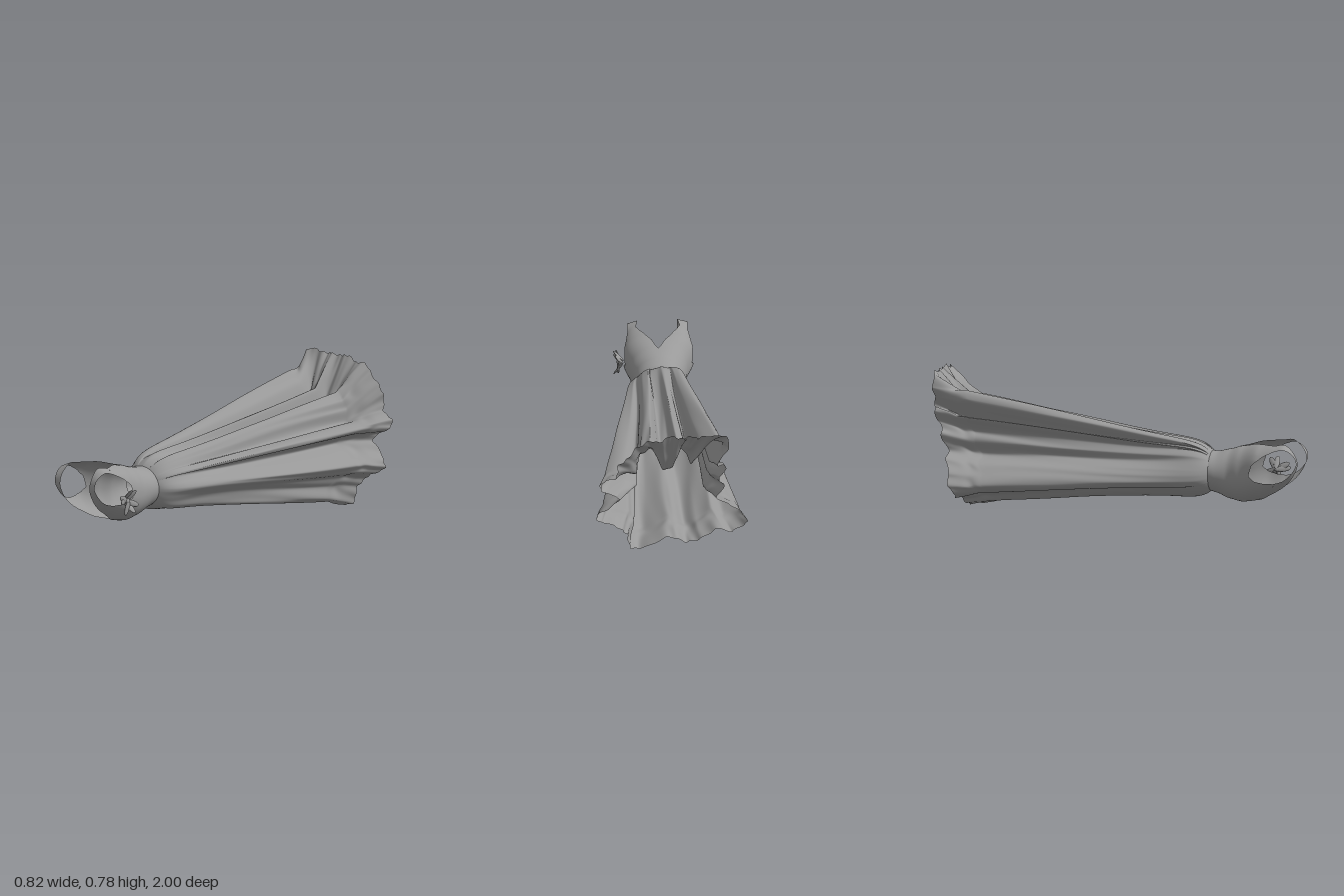
import * as THREE from 'three';

const CX = -0.05, CY = 0.265;      // waist centre
const WAIST_RX = 0.13, WAIST_RY = 0.108;
const material = new THREE.MeshStandardMaterial({ color: 0x999999, side: THREE.DoubleSide });

// Smooth surface through rows of points; closed rows wrap around.
function loft(name, rows, closed) {
  const n = rows[0].length, pos = [], index = [];
  rows.forEach(r => r.forEach(p => pos.push(p[0], p[1], p[2])));
  for (let j = 0; j < rows.length - 1; j++) {
    for (let i = 0; i < (closed ? n : n - 1); i++) {
      const k = (i + 1) % n, a = j * n + i, b = j * n + k, c = a + n, d = b + n;
      index.push(a, c, b, b, c, d);
    }
  }
  const g = new THREE.BufferGeometry();
  g.setAttribute('position', new THREE.Float32BufferAttribute(pos, 3));
  g.setIndex(index);
  g.computeVertexNormals();
  const m = new THREE.Mesh(g, material);
  m.name = name;
  return m;
}

// Closed outline through [x, y] points, counter-clockwise.
const outline = pts => new THREE.CatmullRomCurve3(
  pts.map(p => new THREE.Vector3(p[0], p[1], 0)), true, 'catmullrom', 0.4);

// Smooth lookup in a table of [key, v1, v2, ...].
function lookup(table, key) {
  let i = 0;
  while (i < table.length - 2 && key > table[i + 1][0]) i++;
  const a = table[i], b = table[i + 1];
  const t = THREE.MathUtils.clamp((key - a[0]) / (b[0] - a[0]), 0, 1);
  const s = 0.5 * t + 0.5 * t * t * (3 - 2 * t);
  return a.slice(1).map((v, k) => v + (b[k + 1] - v) * s);
}

// Fold outlines: where the ruffle starts, and at the hem (matching points)
const FOLDS = [
  [0.35, 0.465], [0.26, 0.48], [0.19, 0.46], [0.18, 0.53], [0.16, 0.58], [0.11, 0.615], [0.07, 0.55], [0.04, 0.48],
  [-0.01, 0.50], [-0.04, 0.61], [-0.08, 0.59], [-0.11, 0.51], [-0.16, 0.63], [-0.24, 0.685], [-0.28, 0.64],
  [-0.21, 0.53], [-0.26, 0.54], [-0.20, 0.46], [-0.22, 0.40], [-0.18, 0.33], [-0.28, 0.29], [-0.34, 0.24],
  [-0.37, 0.18], [-0.29, 0.14], [-0.23, 0.16], [-0.15, 0.11], [-0.08, 0.07], [-0.02, 0.12], [0.04, 0.10],
  [0.13, 0.045], [0.19, 0.06], [0.19, 0.13], [0.23, 0.18], [0.32, 0.22], [0.35, 0.26], [0.28, 0.31],
  [0.18, 0.35], [0.23, 0.40], [0.33, 0.43]];
const HEM = [
  [0.39, 0.49], [0.31, 0.53], [0.30, 0.61], [0.25, 0.66], [0.20, 0.72], [0.14, 0.76], [0.08, 0.755], [0.02, 0.785],
  [-0.04, 0.775], [-0.10, 0.78], [-0.14, 0.775], [-0.20, 0.78], [-0.28, 0.78], [-0.305, 0.71], [-0.27, 0.65],
  [-0.24, 0.60], [-0.29, 0.58], [-0.25, 0.50], [-0.28, 0.44], [-0.24, 0.36], [-0.31, 0.31], [-0.38, 0.24],
  [-0.41, 0.17], [-0.33, 0.11], [-0.26, 0.13], [-0.16, 0.07], [-0.09, 0.04], [-0.02, 0.08], [0.05, 0.07],
  [0.16, 0.01], [0.22, 0.02], [0.24, 0.11], [0.29, 0.17], [0.38, 0.21], [0.41, 0.25], [0.36, 0.30],
  [0.29, 0.36], [0.31, 0.40], [0.38, 0.43]];

function skirt() {
  const N = FOLDS.length * 8, folds = outline(FOLDS), hem = outline(HEM), rows = [];
  const cols = Array.from({ length: N }, (_, i) => {
    const m = folds.getPoint(i / N), h = hem.getPoint(i / N), u = i / N * Math.PI * 2;
    const a = Math.atan2(m.y - CY, m.x - CX);
    const zHem = Math.max(-1, -0.83 - 0.165 * Math.min(1, h.y / 0.6) + 0.008 * Math.sin(u * 23));
    return { m, h, a, u, zHem, zFold: zHem + 0.18, wx: CX + WAIST_RX * Math.cos(a), wy: CY + WAIST_RY * Math.sin(a) };
  });
  // waist to ruffle: rounded over the hips, with creases growing downwards
  for (let j = 0; j <= 48; j++) {
    const t = Math.pow(j / 48, 1.3), w = Math.pow(t, 0.8), hip = 0.026 * t / 0.08 * Math.exp(1 - t / 0.08);
    rows.push(cols.map(c => {
      const out = hip + 0.004 * t * Math.sin(c.u * 31 + 2 * Math.sin(t * 5 + c.u * 3));
      return [c.wx + (c.m.x - c.wx) * w + out * Math.cos(c.a),
        c.wy + (c.m.y - c.wy) * w + out * Math.sin(c.a), 0.5 + (c.zFold - 0.5) * t];
    }));
  }
  // flared ruffle, pinched where it starts
  for (let j = 1; j <= 16; j++) {
    const s = j / 16;
    rows.push(cols.map(c => {
      const crease = (1 - s) * 0.004 * Math.sin(c.u * 31 + 2 * Math.sin(5 + c.u * 3))
        + 0.005 * s * Math.sin(c.u * 47 + 2 * Math.sin(c.u * 5) + s * 3)
        - 0.012 * Math.exp(-Math.pow((s - 0.35) / 0.15, 2)) * Math.pow(Math.sin(c.u * 13), 2);
      return [c.m.x + (c.h.x - c.m.x) * s + crease * Math.cos(c.a),
        Math.max(0, c.m.y + (c.h.y - c.m.y) * s + crease * Math.sin(c.a)),
        c.zFold + (c.zHem - c.zFold) * s];
    }));
  }
  return loft('skirt', rows, true);
}

// Bodice sections: z, centre x, half width, bottom y, top y, squareness of the upper half
const SECTIONS = [[0.49, -0.05, 0.13, 0.157, 0.373, 1], [0.53, -0.05, 0.133, 0.145, 0.37, 1],
  [0.60, -0.048, 0.137, 0.115, 0.385, 0.95], [0.67, -0.05, 0.158, 0.10, 0.405, 0.85],
  [0.78, -0.06, 0.195, 0.115, 0.432, 0.75], [0.88, -0.062, 0.188, 0.15, 0.442, 0.65]];
// Edge of each half by angle from the side: armhole, strap root, neckline
const UPPER = { from: 37, to: 60, edge: [[0, 0.74], [14, 0.755], [26, 0.80], [37, 0.87], [60, 0.87], [69, 0.82], [80, 0.75], [90, 0.67]] };
const LOWER = { from: 28, to: 58, edge: [[0, 0.74], [10, 0.765], [18, 0.81], [28, 0.87], [58, 0.87], [68, 0.81], [80, 0.73], [90, 0.67]] };
const power = (v, e) => Math.sign(v) * Math.pow(Math.abs(v), e);

// Point on the bodice: angle a, f = 0 at the waist to 1 at the edge
function bodicePoint(a, f) {
  const c = Math.cos(a), s = Math.sin(a);
  const fromSide = Math.atan2(Math.abs(s), Math.abs(c)) * 180 / Math.PI;
  const z = 0.49 + (lookup((s > 0 ? UPPER : LOWER).edge, fromSide)[0] - 0.49) * f;
  const [cx, rx, lo, hi, square] = lookup(SECTIONS, z);
  const e = s > 0 ? square : 1;
  return [cx + rx * power(c, e), (lo + hi) / 2 + (hi - lo) / 2 * power(s, e), z];
}

function bodice() {
  const N = 180, rows = [];
  for (let j = 0; j <= 28; j++) {
    rows.push(Array.from({ length: N }, (_, i) => bodicePoint(i / N * Math.PI * 2, j / 28)));
  }
  return loft('bodice', rows, true);
}

// Shoulder strap growing out of the upper half and back into the lower one
function strap(side) {
  const lines = [-1, -0.5, 0, 0.5, 1].map(k => {
    const root = (half, sign) => {
      const deg = (half.from + half.to) / 2 - k * (half.to - half.from) / 2;
      return new THREE.Vector3(...bodicePoint(sign * THREE.MathUtils.degToRad(side > 0 ? deg : 180 - deg), 1));
    };
    const at = (x, half, y, rise, z) => new THREE.Vector3(-0.064 + side * (x + k * half), y + k * rise, z);
    return new THREE.CatmullRomCurve3([root(UPPER, 1), at(0.136, 0.028, 0.423, -0.01, 0.93),
      at(0.134, 0.022, 0.38, 0, 0.983), at(0.132, 0.02, 0.33, 0.004, 0.998),
      at(0.132, 0.022, 0.27, 0.012, 0.97), at(0.132, 0.026, 0.225, 0.018, 0.925), root(LOWER, -1)]);
  });
  const rows = Array.from({ length: 37 }, (_, j) => lines.map(l => l.getPoint(j / 36).toArray()));
  return loft(side > 0 ? 'leftStrap' : 'rightStrap', rows, false);
}

// Flower pinned beside the left armhole
function flower() {
  const g = new THREE.Group();
  g.name = 'flower';
  for (let i = 0; i < 7; i++) {
    const petal = new THREE.Group(), shape = new THREE.SphereGeometry(1, 12, 8);
    shape.scale(0.006, 0.042, 0.017);
    const m = new THREE.Mesh(shape, material);
    m.name = 'petal';
    m.position.set(0.014, 0.036, 0);
    m.rotation.z = [-0.75, -0.2, -0.5, 0.1][i % 4];
    petal.add(m);
    petal.rotation.x = i / 7 * Math.PI * 2 + 0.3 * Math.sin(i * 2.4);
    g.add(petal);
  }
  const heart = new THREE.Mesh(new THREE.SphereGeometry(0.016, 12, 8), material);
  heart.name = 'flowerCentre';
  heart.position.x = 0.008;
  g.add(heart);
  g.position.set(0.142, 0.25, 0.81);
  return g;
}

export function createModel() {
  const dress = new THREE.Group();
  dress.name = 'dress';
  dress.add(skirt(), bodice(), strap(1), strap(-1), flower());
  return dress;
}
